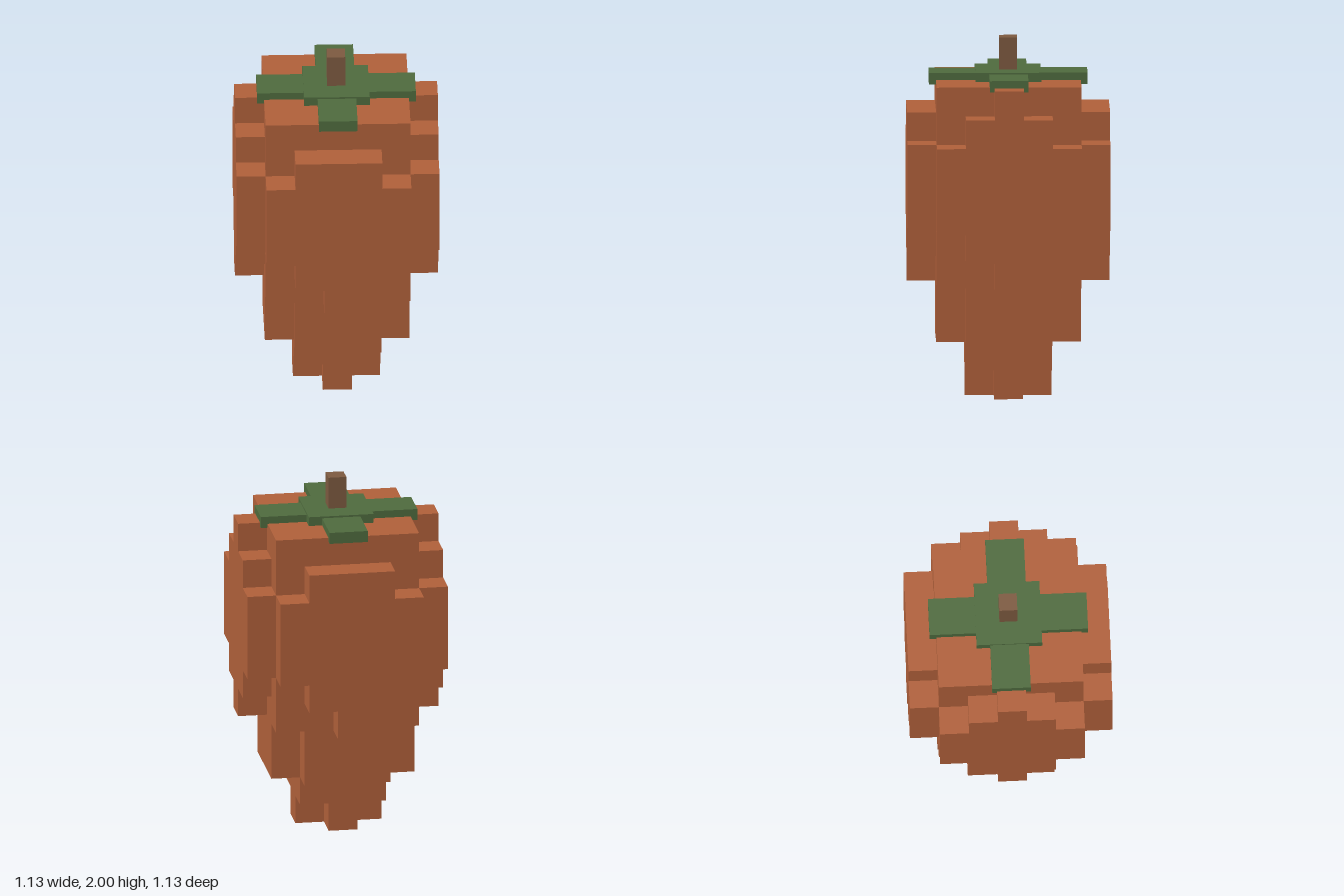
import * as THREE from 'three';
import { mergeGeometries } from 'three/addons/utils/BufferGeometryUtils.js';

const CELL = 0.1608;

// Block layers from the tip upward: for each |x| cell, how many cells the layer reaches in +-z.
const LAYERS = [
  [1, 0],
  [1, 1],
  [2, 2, 1], [2, 2, 1],
  [3, 2, 2, 0],
  [3, 3, 2, 1],
  [3, 3, 3, 2], [3, 3, 3, 2], [3, 3, 3, 2],
  [3, 3, 2, 1],
  [2, 2, 2, 0],
];

function filled(x, y, z) {
  const reach = LAYERS[y]?.[Math.abs(x)];
  return reach !== undefined && Math.abs(z) <= reach;
}

// Outer skin of the stacked blocks: one square for every exposed cell side.
function blockSkin() {
  const sides = [
    [1, 0, 0], [-1, 0, 0], [0, 1, 0], [0, -1, 0], [0, 0, 1], [0, 0, -1],
  ].map((d) => new THREE.Vector3(...d));
  const forward = new THREE.Vector3(0, 0, 1);
  const faces = [];
  for (let y = 0; y < LAYERS.length; y++)
    for (let x = -3; x <= 3; x++)
      for (let z = -3; z <= 3; z++) {
        if (!filled(x, y, z)) continue;
        for (const d of sides) {
          if (filled(x + d.x, y + d.y, z + d.z)) continue;
          const face = new THREE.PlaneGeometry(CELL, CELL);
          face.translate(0, 0, CELL / 2);
          if (d.z === -1) face.rotateY(Math.PI);
          else face.applyQuaternion(new THREE.Quaternion().setFromUnitVectors(forward, d));
          face.translate(x * CELL, (y + 0.5) * CELL, z * CELL);
          faces.push(face);
        }
      }
  return mergeGeometries(faces);
}

export function createModel() {
  const model = new THREE.Group();
  model.name = 'blockFruit';

  const skin = new THREE.MeshStandardMaterial({ color: 0xb0603a });
  skin.name = 'orange skin';
  const leaf = new THREE.MeshStandardMaterial({ color: 0x4f6b3e });
  leaf.name = 'leaf green';
  const wood = new THREE.MeshStandardMaterial({ color: 0x7d5a40 });
  wood.name = 'stem brown';

  const add = (name, geometry, material, parent = model) => {
    const mesh = new THREE.Mesh(geometry, material);
    mesh.name = name;
    parent.add(mesh);
    return mesh;
  };

  add('fruitBody', blockSkin(), skin);

  // Leafy cap: a square centre with four flat leaves
  const cap = new THREE.Group();
  cap.name = 'leafCap';
  model.add(cap);
  add('capCentre', new THREE.BoxGeometry(0.364, 0.06, 0.364), leaf, cap).position.y = 1.79;
  for (let i = 0; i < 4; i++) {
    const geometry = new THREE.BoxGeometry(0.214, 0.064, 0.28);
    geometry.translate(0, 1.778, 0.3);
    geometry.rotateY((i * Math.PI) / 2);
    add('leaf', geometry, leaf, cap);
  }

  // Stem
  add('stem', new THREE.BoxGeometry(0.1, 0.2, 0.1), wood).position.y = 1.9;

  return model;
}
